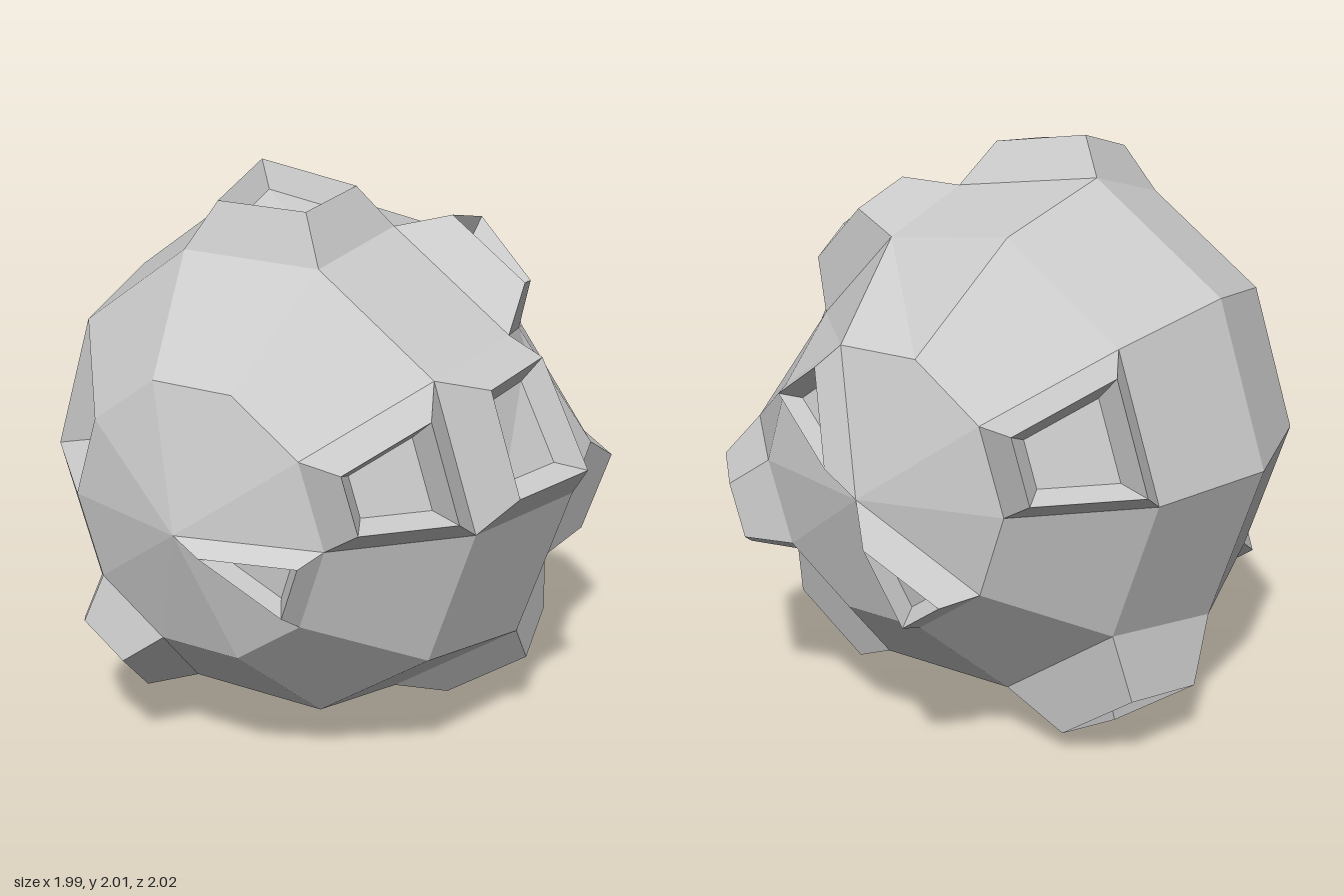
import * as THREE from 'three';

const SECTORS = 10, BANDS = 6, R = 0.95;
const CENTRE = new THREE.Vector3(-0.05, 0.975, 0.01);

// radial scale of the few grid points that are pressed inward, keyed "ring,sector"
const DENTS = { '3,1': 0.91, '3,2': 0.91, '4,1': 0.84, '4,2': 0.92 };

// craters: band counted from the front pole, sector counted from +x towards +y
const CRATERS = [
  { name: 'frontNotch', band: 0, sector: 9, height: 0.07, rim: 0.65, depth: 0.07 },
  { name: 'frontLeftCrater', band: 1, sector: 0, height: 0.15, rim: 0.65, depth: 0.1 },
  { name: 'frontRightPit', band: 1, sector: 4, height: 0, rim: 1, depth: 0.1 },
  { name: 'lowerFrontCrater', band: 1, sector: 6, height: 0.15, rim: 0.65, depth: 0.1 },
  { name: 'leftCrater', band: 2, sector: 0, height: 0.15, rim: 0.7, depth: 0.08 },
  { name: 'topCrater', band: 2, sector: 2, height: 0.15, rim: 0.65, depth: 0.08 },
  { name: 'upperLeftCrater', band: 3, sector: 1, height: 0.15, rim: 0.63, depth: 0.08 },
  { name: 'lowerRightCrater', band: 3, sector: 6, height: 0.21, rim: 0.65, depth: 0.1 },
  { name: 'lowerLeftCrater', band: 3, sector: 8, height: 0.15, rim: 0.65, depth: 0.1 },
  { name: 'backRightCrater', band: 4, sector: 4, height: 0.15, rim: 0.74, depth: 0.09 },
  { name: 'backLeftCrater', band: 4, sector: 9, height: 0.15, rim: 0.65, depth: 0.1 },
  { name: 'backUpperNotch', band: 5, sector: 1, height: 0.09, rim: 0.65, depth: 0.07 },
  { name: 'backLowerNotch', band: 5, sector: 6, height: 0.12, rim: 0.6, depth: 0.07 },
];

// point of the grid, whose poles lie on the z axis
function gridPoint(ring, sector) {
  const s = sector % SECTORS;
  const t = (ring / BANDS) * Math.PI, a = (s / SECTORS) * Math.PI * 2;
  const r = R * (DENTS[`${ring},${s}`] ?? 1);
  return new THREE.Vector3(Math.sin(t) * Math.cos(a), Math.sin(t) * Math.sin(a), Math.cos(t))
    .multiplyScalar(r).add(CENTRE);
}

// corners of one face, anticlockwise from outside; triangles at the poles
function faceCorners(band, s) {
  const corners = [gridPoint(band, s), gridPoint(band + 1, s)];
  if (band < BANDS - 1) corners.push(gridPoint(band + 1, s + 1));
  if (band > 0) corners.push(gridPoint(band, s + 1));
  return corners;
}

function faceNormal(c) {
  const a = c[2].clone().sub(c[0]);
  const b = (c.length === 4 ? c[3] : c[2]).clone().sub(c[1]);
  return a.cross(b).normalize();
}

// copy of a face, shrunk about its middle and moved along a direction
function shrink(corners, scale, normal, distance) {
  const mid = new THREE.Vector3();
  corners.forEach((p) => mid.addScaledVector(p, 1 / corners.length));
  return corners.map((p) => p.clone().sub(mid).multiplyScalar(scale).add(mid)
    .addScaledVector(normal, distance));
}

function addPolygon(points, corners) {
  for (let i = 1; i < corners.length - 1; i++) points.push(corners[0], corners[i], corners[i + 1]);
}

// walls between two matching outlines
function addWalls(points, lower, upper) {
  lower.forEach((p, i) => {
    const j = (i + 1) % lower.length;
    addPolygon(points, [p, lower[j], upper[j], upper[i]]);
  });
}

function makeMesh(name, points, material) {
  const geometry = new THREE.BufferGeometry().setFromPoints(points);
  geometry.computeVertexNormals();
  const mesh = new THREE.Mesh(geometry, material);
  mesh.name = name;
  return mesh;
}

export function createModel() {
  const group = new THREE.Group();
  group.name = 'asteroid';
  const material = new THREE.MeshStandardMaterial({ color: 0xcccccc, flatShading: true });

  // plain faces of the rock
  const body = [];
  for (let band = 0; band < BANDS; band++) {
    for (let s = 0; s < SECTORS; s++) {
      if (CRATERS.some((c) => c.band === band && c.sector === s)) continue;
      addPolygon(body, faceCorners(band, s));
    }
  }
  group.add(makeMesh('rockBody', body, material));

  // raised rims with a sunken floor
  for (const { name, band, sector, height, rim, depth } of CRATERS) {
    const base = faceCorners(band, sector);
    const normal = faceNormal(base);
    const edge = shrink(base, rim, normal, height);
    const floor = shrink(edge, 0.72, normal, -depth);
    const points = [];
    if (height > 0) addWalls(points, base, edge);
    addWalls(points, edge, floor);
    addPolygon(points, floor);
    group.add(makeMesh(name, points, material));
  }
  return group;
}
